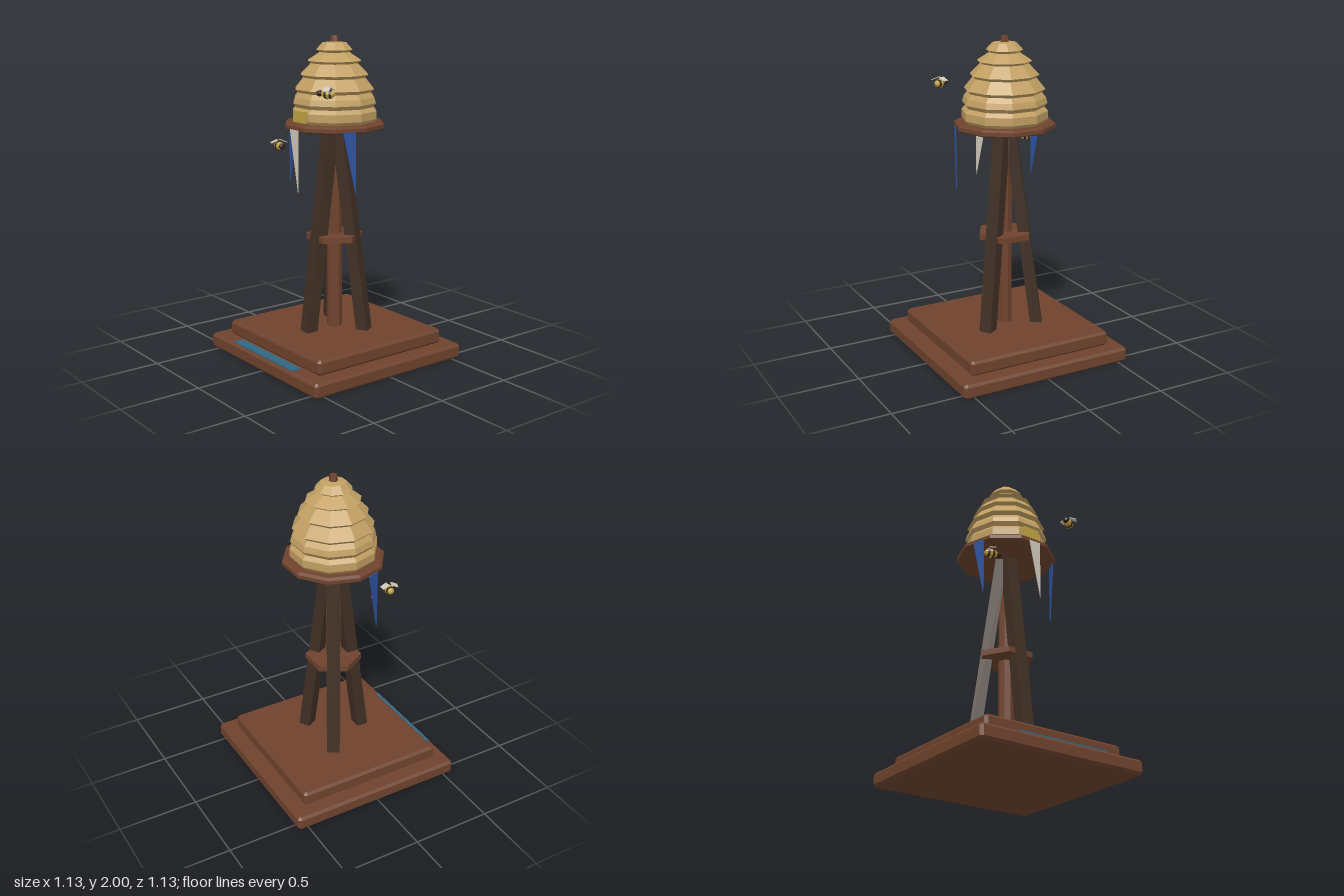
import * as THREE from 'three';

const mat = (name, color) => {
  const m = new THREE.MeshStandardMaterial({ color });
  m.name = name;
  return m;
};

// Unshared vertices give every facet its own normal
function facet(geo) {
  const g = geo.index ? geo.toNonIndexed() : geo;
  g.computeVertexNormals();
  return g;
}

function lathe(points, sides) {
  const g = new THREE.LatheGeometry(points.map(([r, y]) => new THREE.Vector2(r, y)), sides, Math.PI / 2);
  return facet(g);
}

// Square slab with chamfered corners and edges, resting on y = 0
function slab(size, height, bevel) {
  const h = size / 2 - bevel, c = h - 0.008;
  const s = new THREE.Shape([
    [c, -h], [h, -c], [h, c], [c, h], [-c, h], [-h, c], [-h, -c], [-c, -h],
  ].map(([x, y]) => new THREE.Vector2(x, y)));
  const g = new THREE.ExtrudeGeometry(s, {
    depth: height - 2 * bevel, bevelEnabled: true, bevelSegments: 1, bevelSize: bevel, bevelThickness: bevel,
  });
  g.translate(0, 0, bevel);
  g.rotateX(-Math.PI / 2);
  return g;
}

export function createModel() {
  const wood = mat('brown wood', 0x6f432d);
  const darkWood = mat('dark wood', 0x3f2f24);
  const straw = mat('straw', 0xc2a063);
  const yellow = mat('yellow', 0xbfa340);
  const blue = mat('blue cloth', 0x2d52a0);
  const pale = mat('pale cloth', 0xcfc8bc);
  const teal = mat('teal plate', 0x326784);
  const dark = mat('bee brown', 0x33231a);

  const model = new THREE.Group();
  const add = (name, geo, material, x = 0, y = 0, z = 0, parent = model) => {
    const mesh = new THREE.Mesh(geo, material);
    mesh.name = name;
    mesh.position.set(x, y, z);
    parent.add(mesh);
    return mesh;
  };

  // Stepped base and front plate
  add('lowerSlab', slab(1.132, 0.09, 0.015), wood);
  add('upperSlab', slab(0.953, 0.092, 0.015), wood, 0, 0.09, 0);
  add('frontPlate', new THREE.BoxGeometry(0.625, 0.009, 0.061), teal, 0, 0.0945, 0.52);

  // Central post and three leaning legs
  add('post', facet(new THREE.CylinderGeometry(0.047, 0.047, 1.28, 8)), wood, 0, 0.815, 0);
  for (let i = 0; i < 3; i++) {
    const g = new THREE.BoxGeometry(0.08, 1.27, 0.074);
    const p = g.attributes.position;
    for (let v = 0; v < p.count; v++) {
      p.setZ(v, p.getZ(v) + (p.getY(v) < 0 ? 0.2 : 0.03));
    }
    g.computeVertexNormals();
    add('leg', g, darkWood, 0, 0.815, 0).rotation.y = (i * Math.PI * 2) / 3;
  }
  add('brace', facet(new THREE.CylinderGeometry(0.175, 0.175, 0.036, 6)), wood, 0, 0.768, 0)
    .rotation.y = Math.PI / 6;

  // Ten-sided platform
  add('platform', lathe([
    [0, 1.442], [0.293, 1.442], [0.311, 1.452], [0.311, 1.474], [0.292, 1.486], [0, 1.486],
  ], 10), wood);

  // Hive: stacked overlapping straw rings
  add('hive', lathe([
    [0.248, 1.484], [0.264, 1.505], [0.264, 1.552], [0.242, 1.576],
    [0.26, 1.6], [0.25, 1.635], [0.226, 1.664],
    [0.248, 1.684], [0.192, 1.752],
    [0.212, 1.77], [0.145, 1.837],
    [0.167, 1.852], [0.09, 1.902],
    [0.113, 1.917], [0.075, 1.958], [0, 1.966],
  ], 10), straw);
  add('finial', facet(new THREE.CylinderGeometry(0.022, 0.028, 0.046, 6)), wood, 0, 1.977, 0)
    .rotation.y = Math.PI / 6;
  add('doorPlate', new THREE.BoxGeometry(0.116, 0.068, 0.03), yellow, 0, 1.53, 0.254);

  // Pointed pennants hanging from the platform rim
  const flag = new THREE.Shape([
    new THREE.Vector2(-0.039, 1.455), new THREE.Vector2(0.039, 1.08), new THREE.Vector2(0.039, 1.455),
  ]);
  [[0, pale], [69.5, blue], [-69.5, blue]].forEach(([deg, material]) => {
    const g = new THREE.ExtrudeGeometry(flag, { depth: 0.006, bevelEnabled: false });
    g.translate(0, 0, 0.299);
    add('pennant', g, material).rotation.y = THREE.MathUtils.degToRad(deg);
  });

  // Bees: banded body along +z, head and two drooping wings
  const bands = [
    [[0, -0.045], [0.014, -0.039], [0.022, -0.027]],
    [[0.022, -0.027], [0.027, -0.015]],
    [[0.027, -0.015], [0.03, 0.002]],
    [[0.03, 0.002], [0.027, 0.015]],
    [[0.027, 0.015], [0.016, 0.035], [0, 0.038]],
  ];
  function bee(name, x, y, z, heading) {
    const group = new THREE.Group();
    group.name = name;
    group.position.set(x, y, z);
    group.rotation.y = heading;
    bands.forEach((pts, i) => {
      add('bodyBand', lathe(pts, 8).rotateX(Math.PI / 2), i % 2 ? dark : yellow, 0, 0, 0, group);
    });
    add('head', facet(new THREE.IcosahedronGeometry(0.021, 0)), dark, 0, 0.002, 0.05, group);
    for (const side of [-1, 1]) {
      const wing = add('wing', new THREE.BoxGeometry(0.045, 0.004, 0.038), pale, side * 0.03, 0.028, -0.004, group);
      wing.rotation.set(0, side * 0.2, side * -0.4);
    }
    model.add(group);
  }
  bee('lowerBee', -0.272, 1.318, 0.225, Math.atan2(0.97, 0.2));
  bee('upperBee', 0.298, 1.695, 0.277, Math.atan2(-0.86, 0.5));

  return model;
}
